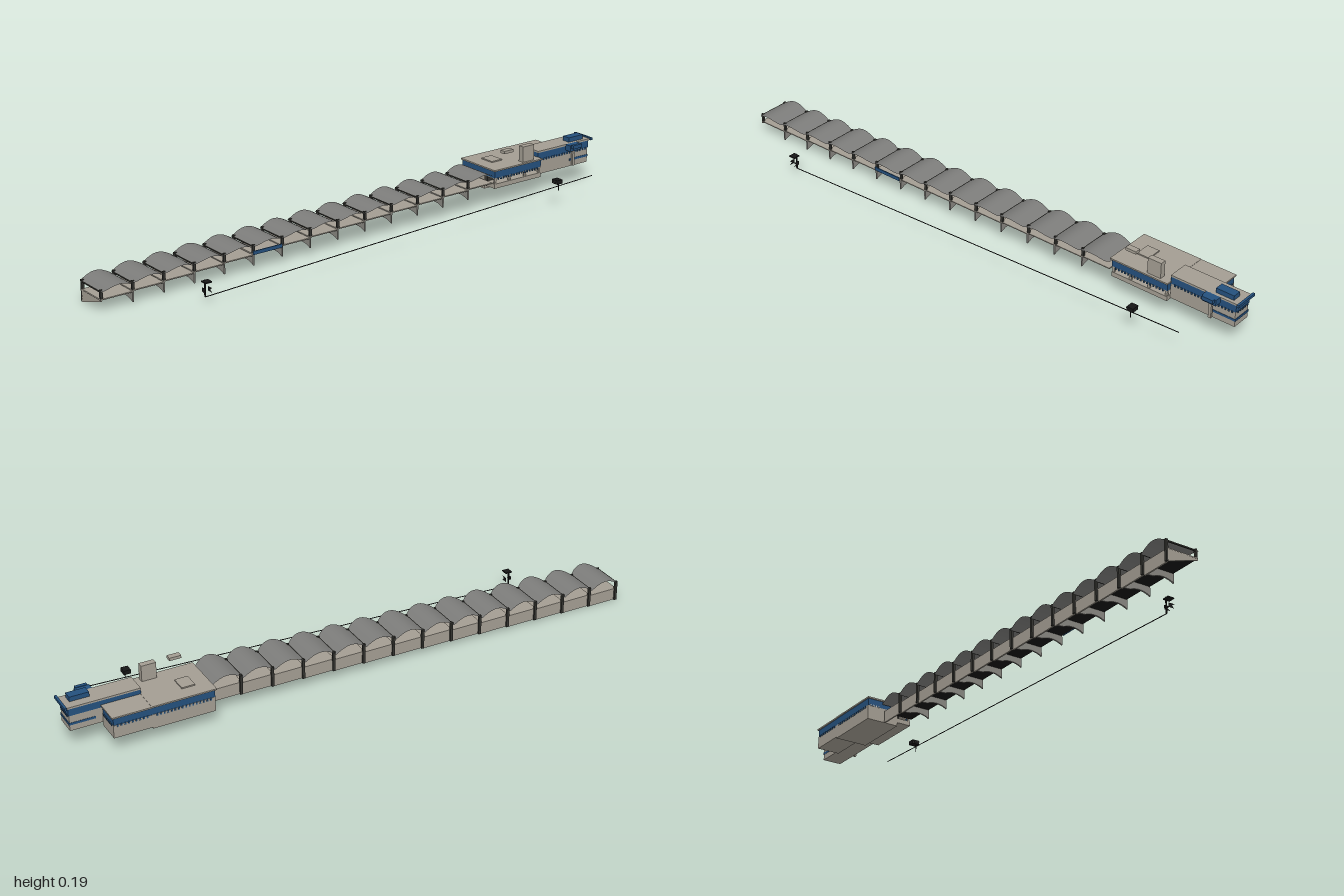
import * as THREE from 'three';

const mat = (name, color, side = THREE.FrontSide) => {
  const m = new THREE.MeshStandardMaterial({ color, side });
  m.name = name;
  return m;
};

export function createModel() {
  const beige = mat('beige concrete', 0xa39d92, THREE.DoubleSide);
  const roofGrey = mat('grey roofing', 0x7c7c7a, THREE.DoubleSide);
  const ribGrey = mat('grey concrete', 0x888680, THREE.DoubleSide);
  const blue = mat('blue cladding', 0x24507d);
  const dark = mat('dark steel', 0x33332f);
  const black = mat('black', 0x161616, THREE.DoubleSide);
  const white = mat('window white', 0xc9d2da);

  const root = new THREE.Group();
  root.name = 'pitStraight';

  const group = (name, parent = root) => {
    const g = new THREE.Group();
    g.name = name;
    parent.add(g);
    return g;
  };
  const add = (parent, name, geo, material) => {
    const m = new THREE.Mesh(geo, material);
    m.name = name;
    parent.add(m);
    return m;
  };
  // box given by its limits
  const box = (parent, name, material, x0, x1, y0, y1, z0, z1) => {
    const m = add(parent, name, new THREE.BoxGeometry(x1 - x0, y1 - y0, z1 - z0), material);
    m.position.set((x0 + x1) / 2, (y0 + y1) / 2, (z0 + z1) / 2);
    return m;
  };

  // ---- Grandstand: fourteen bays climbing the slope
  const BAYS = 14, PITCH = 1.53 / BAYS, STEP = 0.0036;

  // barrel roof sheet with a rounded front edge
  const roofGeo = new THREE.PlaneGeometry(1, 1, 1, 20);
  const p = roofGeo.attributes.position;
  for (let i = 0; i < p.count; i++) {
    const t = 0.5 - p.getY(i), arch = Math.max(0, Math.sin(Math.PI * t));
    const x = p.getX(i) < 0 ? -0.108 : 0.01 + 0.026 * Math.sqrt(arch);
    p.setXYZ(i, x, 0.068 + 0.021 * arch, (t - 0.5) * PITCH);
  }
  roofGeo.computeVertexNormals();

  // cross wall under the deck, with a hollowed foot
  const ribShape = new THREE.Shape();
  ribShape.moveTo(-0.095, 0.006);
  ribShape.lineTo(-0.062, 0.009);
  ribShape.quadraticCurveTo(-0.025, 0.026, 0.012, 0.006);
  ribShape.lineTo(0.012, 0.044);
  ribShape.lineTo(-0.095, 0.044);
  const ribGeo = new THREE.ExtrudeGeometry(ribShape, { depth: 0.005, bevelEnabled: false, curveSegments: 10 });

  const stand = group('grandstand');
  for (let i = 0; i < BAYS; i++) {
    const bay = group('bay', stand);
    bay.position.set(0, i * STEP, 1 - PITCH * (i + 0.5));
    const h = PITCH / 2;
    add(bay, 'barrelRoof', roofGeo, roofGrey);
    box(bay, 'deck', beige, -0.095, 0.012, 0.042, 0.045, -h, h);
    box(bay, 'deckUnderside', black, -0.092, 0.01, 0.0405, 0.042, -h, h);
    box(bay, 'backWall', beige, -0.098, -0.093, 0.003, 0.045, -h, h);
    if (i > 0) add(bay, 'crossWall', ribGeo, ribGrey).position.z = h - 0.005;
    box(bay, 'rearPost', dark, -0.104, -0.096, 0.003, 0.074, h - 0.009, h);
    box(bay, 'frontPost', dark, 0.005, 0.011, 0.045, 0.074, h - 0.009, h);
    box(bay, 'roofBeam', dark, -0.1, 0.011, 0.066, 0.07, h - 0.005, h);
    if (i === 5) box(bay, 'bluePanel', blue, 0.012, 0.016, 0.042, 0.054, -h, h);
  }

  // sloping end wall of the lowest bay
  const endShape = new THREE.Shape([
    [-0.093, 0.004], [0.012, 0.037], [0.012, 0.045], [-0.093, 0.045],
  ].map(([x, y]) => new THREE.Vector2(x, y)));
  add(stand, 'endWall', new THREE.ExtrudeGeometry(endShape, { depth: 0.005, bevelEnabled: false }), beige)
    .position.z = 0.995;

  // ---- Main building
  const main = group('mainBuilding');
  // row of short fins hanging below a blue band, along x or z
  const fins = (parent, alongX, a, b, fixed, y, material = blue, h = 0.007) => {
    const n = Math.round(Math.abs(b - a) / 0.012);
    for (let i = 0; i < n; i++) {
      const c = a + (b - a) * (i + 0.5) / n, w = 0.0025;
      if (alongX) box(parent, 'fin', material, c - w, c + w, y - h, y, fixed - 0.0015, fixed + 0.0015);
      else box(parent, 'fin', material, fixed - 0.0015, fixed + 0.0015, y - h, y, c - w, c + w);
    }
  };
  box(main, 'groundFloor', beige, -0.157, -0.04, 0.055, 0.102, -0.75, -0.54);
  box(main, 'terraceSlab', beige, -0.04, 0.012, 0.068, 0.084, -0.75, -0.54);
  box(main, 'recessedWall', dark, -0.04, -0.03, 0.084, 0.102, -0.745, -0.545);
  for (const z of [-0.745, -0.68, -0.61, -0.545])
    box(main, 'terracePost', beige, 0.004, 0.01, 0.084, 0.105, z - 0.004, z + 0.004);
  box(main, 'upperFloor', blue, -0.156, 0.012, 0.105, 0.13, -0.75, -0.54);
  box(main, 'soffit', beige, -0.157, 0.012, 0.102, 0.105, -0.75, -0.54);
  box(main, 'roofSlab', beige, -0.16, 0.017, 0.13, 0.135, -0.752, -0.535);
  fins(main, false, -0.74, -0.55, 0.0125, 0.105);
  fins(main, false, -0.74, -0.55, -0.1575, 0.105);
  fins(main, true, -0.153, -0.11, -0.539, 0.109, white, 0.005);
  box(main, 'roofHatch', beige, -0.11, -0.055, 0.135, 0.139, -0.63, -0.585);
  box(main, 'roofTower', beige, -0.013, 0.008, 0.135, 0.19, -0.72, -0.67);
  box(main, 'raisedSign', beige, -0.013, 0.008, 0.181, 0.191, -0.625, -0.585);

  // ---- Rear wing
  const wing = group('rearWing');
  box(wing, 'wingWalls', beige, -0.157, -0.075, 0.06, 0.104, -0.878, -0.75);
  box(wing, 'wingBand', blue, -0.156, -0.075, 0.104, 0.129, -0.877, -0.75);
  box(wing, 'wingRoof', beige, -0.16, -0.073, 0.129, 0.134, -0.882, -0.75);
  fins(wing, false, -0.87, -0.76, -0.1575, 0.106);
  fins(wing, true, -0.15, -0.08, -0.8785, 0.106);

  // ---- Control block at the far end
  const control = group('controlBlock');
  box(control, 'controlWalls', beige, -0.073, -0.005, 0.072, 0.125, -0.985, -0.75);
  box(control, 'controlBand', blue, -0.074, -0.004, 0.125, 0.15, -0.987, -0.75);
  box(control, 'lowerBand', blue, -0.074, -0.004, 0.092, 0.1, -0.987, -0.9);
  box(control, 'controlRoof', beige, -0.076, -0.003, 0.15, 0.156, -0.995, -0.75);
  box(control, 'roofEdge', blue, -0.082, 0.004, 0.151, 0.16, -1.0, -0.992);
  box(control, 'rooftopCabin', blue, -0.045, -0.015, 0.156, 0.172, -0.97, -0.905);
  box(control, 'balcony', blue, -0.004, 0.02, 0.135, 0.156, -0.93, -0.88);
  box(control, 'balconyRail', blue, 0.018, 0.03, 0.145, 0.158, -0.925, -0.885);
  box(control, 'balconyLeg', beige, 0.004, 0.012, 0.078, 0.135, -0.91, -0.9);
  fins(control, true, -0.07, -0.01, -0.9875, 0.127);
  fins(control, false, -0.98, -0.76, -0.0035, 0.127);

  // ---- Trackside rail, flag post and signal board
  const track = group('trackside');
  const rail = new THREE.LineCurve3(new THREE.Vector3(0.131, 0.02, 0.71), new THREE.Vector3(0.131, 0.078, -0.88));
  add(track, 'rail', new THREE.TubeGeometry(rail, 1, 0.0015, 5), black);

  const flagGeo = new THREE.ShapeGeometry(new THREE.Shape([
    [0.13, 0.038], [0.153, 0.038], [0.143, 0.0455], [0.153, 0.053], [0.13, 0.053],
  ].map(([x, y]) => new THREE.Vector2(x, y))));
  box(track, 'flagPost', black, 0.128, 0.132, 0.02, 0.075, 0.708, 0.712);
  for (const z of [0.7, 0.72]) add(track, 'flag', flagGeo, black).position.z = z;
  box(track, 'flagArm', black, 0.128, 0.152, 0.07, 0.074, 0.698, 0.722);

  box(track, 'signalBoard', black, 0.123, 0.15, 0.086, 0.1, -0.724, -0.7);
  for (let r = 0; r < 2; r++)
    for (let c = 0; c < 4; c++) {
      const x = 0.1245 + c * 0.0065 + r * 0.0025, y = 0.088 + r * 0.006;
      box(track, 'boardTile', dark, x, x + 0.003, y, y + 0.004, -0.7, -0.699);
    }
  box(track, 'boardPost', black, 0.143, 0.145, 0.062, 0.086, -0.713, -0.711);

  return root;
}
